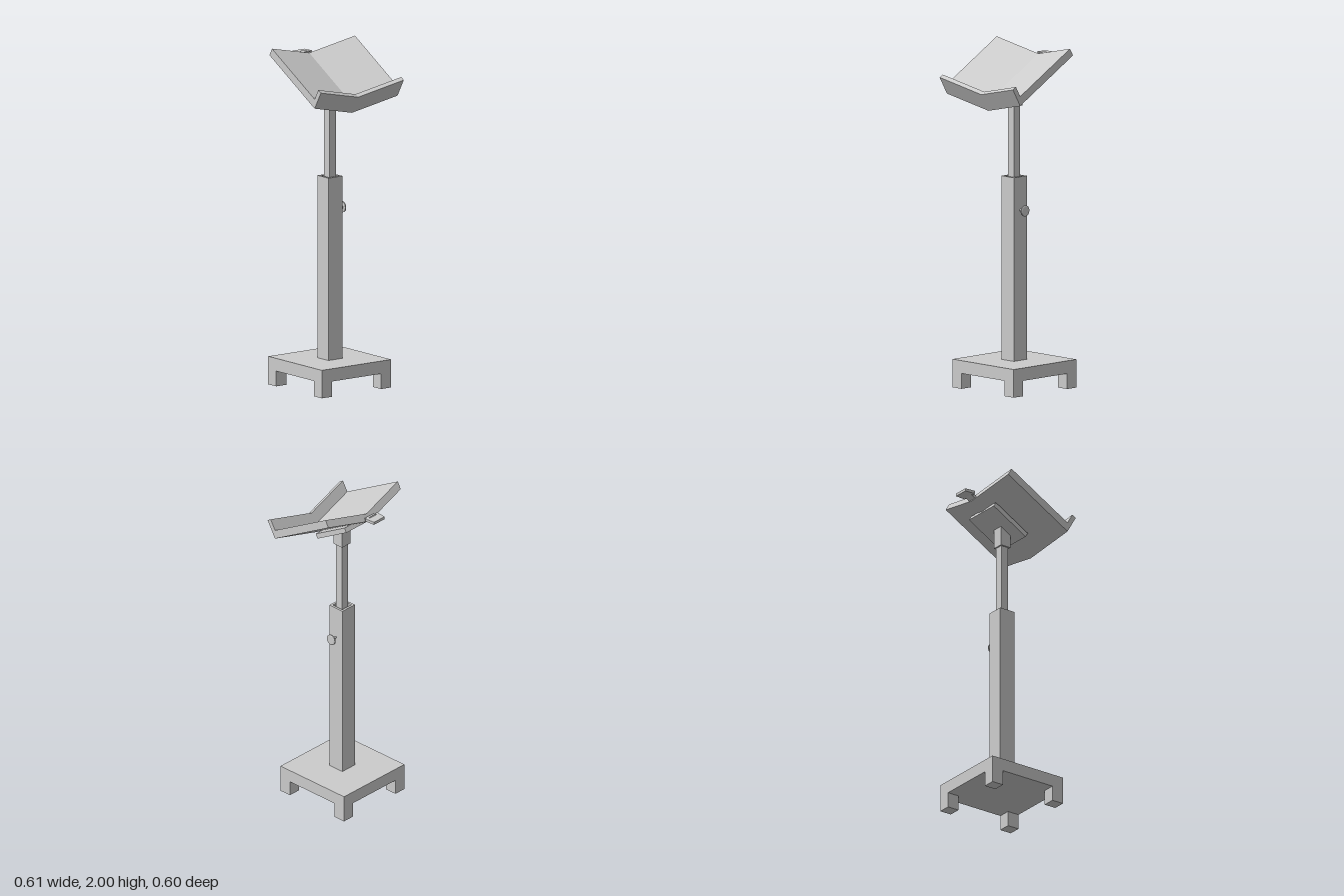
import * as THREE from 'three';

const material = new THREE.MeshStandardMaterial({ color: 0xcccccc, flatShading: true });
const AXIS_Z = -0.008; // the stand sits slightly behind the origin

function add(parent, name, geometry, x = 0, y = 0, z = 0) {
  const mesh = new THREE.Mesh(geometry, material);
  mesh.name = name;
  mesh.position.set(x, y, z);
  parent.add(mesh);
  return mesh;
}

// Box whose bottom sits at y0 and top at y1
function block(parent, name, w, d, y0, y1, x = 0, z = AXIS_Z) {
  return add(parent, name, new THREE.BoxGeometry(w, y1 - y0, d), x, (y0 + y1) / 2, z);
}

function polygon(points) {
  return new THREE.Shape(points.map(([x, y]) => new THREE.Vector2(x, y)));
}

function extrude(shape, depth) {
  return new THREE.ExtrudeGeometry(shape, { depth, bevelEnabled: false });
}

function square(h) {
  return [[-h, -h], [h, -h], [h, h], [-h, h]];
}

// V-shaped cross-section between two heights, measured from the valley
function vProfile(bottom, top) {
  const w = 0.303, rise = 0.08;
  return polygon([
    [-w, bottom + rise], [0, bottom], [w, bottom + rise],
    [w, top + rise], [0, top], [-w, top + rise],
  ]);
}

export function createModel() {
  const model = new THREE.Group();
  model.name = 'lectern';

  // Base plate on four square feet
  block(model, 'basePlate', 0.506, 0.506, 0.09, 0.165);
  for (const sx of [-1, 1]) {
    for (const sz of [-1, 1]) {
      block(model, 'foot', 0.075, 0.075, 0, 0.09, sx * 0.2155, AXIS_Z + sz * 0.2155);
    }
  }

  // Hollow outer column
  const tube = polygon(square(0.052));
  tube.holes.push(new THREE.Path(square(0.038).reverse().map(([x, y]) => new THREE.Vector2(x, y))));
  const column = add(model, 'outerColumn', extrude(tube, 1.075), 0, 0.165, AXIS_Z + 0.003);
  column.rotation.x = -Math.PI / 2;

  // Sliding post and the collar under the desk
  block(model, 'innerPost', 0.05, 0.05, 1.15, 1.66, 0, AXIS_Z + 0.004);
  block(model, 'collar', 0.069, 0.069, 1.652, 1.772, 0, AXIS_Z + 0.004);

  // Clamping knob on the left side of the column
  const knobProfile = [[0, 0], [0.006, 0], [0.006, 0.024], [0.014, 0.029], [0.014, 0.034],
    [0.032, 0.037], [0.032, 0.044], [0.026, 0.047], [0, 0.047]];
  const knob = add(model, 'clampKnob',
    new THREE.LatheGeometry(knobProfile.map(([r, y]) => new THREE.Vector2(r, y)), 24),
    0.05, 1.045, AXIS_Z + 0.003);
  knob.rotation.z = -Math.PI / 2;

  // Tilted desk: V-shaped board, front lip, mounting plate
  const desk = new THREE.Group();
  desk.name = 'desk';
  desk.position.y = 1.816;
  desk.rotation.x = Math.PI / 6;
  model.add(desk);
  add(desk, 'board', extrude(vProfile(-0.048, 0), 0.464), 0, 0, -0.232);
  add(desk, 'frontLip', extrude(vProfile(-0.048, 0.069), 0.028), 0, 0, 0.232);
  add(desk, 'mountingPlate', new THREE.BoxGeometry(0.24, 0.03, 0.265), 0, -0.045, -0.01);

  // Rear handle: sloping neck and a level tab
  add(desk, 'handleNeck', new THREE.BoxGeometry(0.056, 0.02, 0.055), 0, -0.028, -0.25);
  const tabShape = polygon([
    [-0.028, 0.23], [0.028, 0.23], [0.05, 0.238],
    [0.045, 0.302], [-0.045, 0.302], [-0.05, 0.238],
  ]);
  const tab = add(model, 'handleTab', extrude(tabShape, 0.017), 0, 1.917, 0);
  tab.rotation.x = -Math.PI / 2;

  return model;
}
